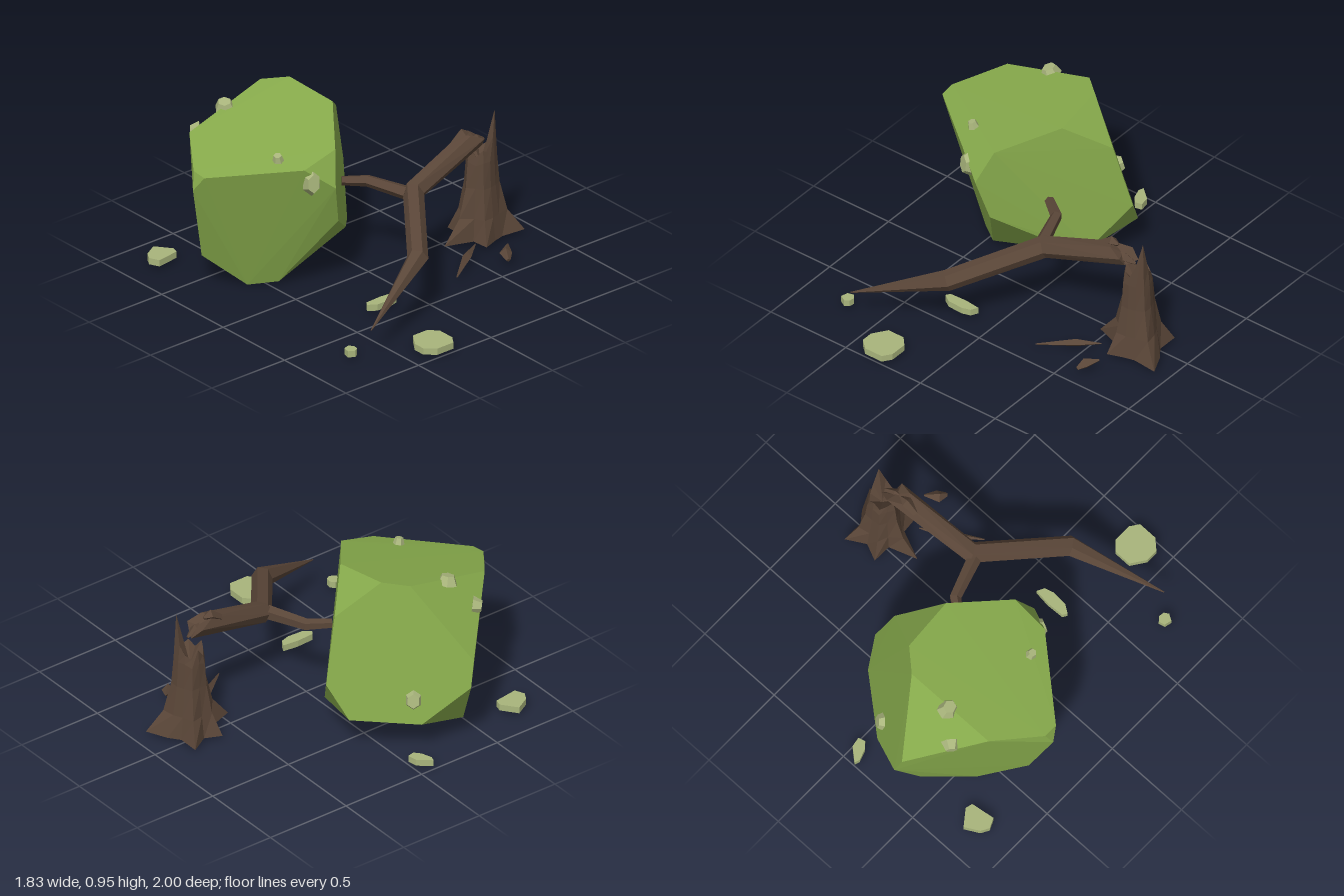
import * as THREE from 'three';
import { ConvexGeometry } from 'three/addons/geometries/ConvexGeometry.js';

const V = (p) => new THREE.Vector3(...p);

// Skin over a list of rings (equal point counts), closed by a fan at each end
function loft(rings, endCentre) {
  const n = rings[0].length, pos = [];
  const tri = (...pts) => pts.forEach((p) => pos.push(p.x, p.y, p.z));
  const middle = (r) => r.reduce((s, p) => s.add(p), new THREE.Vector3()).divideScalar(n);
  const first = rings[0], last = rings[rings.length - 1];
  const c0 = middle(first), c1 = endCentre || middle(last);
  for (let j = 0; j < n; j++) {
    const k = (j + 1) % n;
    for (let i = 0; i < rings.length - 1; i++) {
      const a = rings[i], b = rings[i + 1];
      tri(a[j], a[k], b[k]);
      tri(a[j], b[k], b[j]);
    }
    tri(c0, first[k], first[j]);
    tri(c1, last[j], last[k]);
  }
  const g = new THREE.BufferGeometry();
  g.setAttribute('position', new THREE.Float32BufferAttribute(pos, 3));
  g.computeVertexNormals();
  return g;
}

// Tapered limb along a bent path; jag shifts the first ring's points along the limb
function limb(path, radii, sides = 6, jag = []) {
  const pts = path.map(V), up = new THREE.Vector3(0, 1, 0);
  return loft(pts.map((p, i) => {
    const t = new THREE.Vector3();
    if (i > 0) t.add(p.clone().sub(pts[i - 1]).normalize());
    if (i < pts.length - 1) t.add(pts[i + 1].clone().sub(p).normalize());
    t.normalize();
    const e1 = up.clone().cross(t).normalize(), e2 = t.clone().cross(e1);
    return Array.from({ length: sides }, (_, j) => {
      const a = (j / sides) * Math.PI * 2;
      return p.clone()
        .addScaledVector(e1, Math.cos(a) * radii[i])
        .addScaledVector(e2, Math.sin(a) * radii[i])
        .addScaledVector(t, i === 0 ? jag[j] || 0 : 0);
    });
  }));
}

export function createModel() {
  const model = new THREE.Group();
  const material = (name, color) => {
    const m = new THREE.MeshStandardMaterial({ color });
    m.name = name;
    m.flatShading = true;
    return m;
  };
  const bark = material('darkBark', 0x5a4638);
  const green = material('leafGreen', 0x86a94b);
  const pale = material('paleLeaf', 0xa9b57c);
  const add = (name, geometry, mat) => {
    const mesh = new THREE.Mesh(geometry, mat);
    mesh.name = name;
    model.add(mesh);
    return mesh;
  };

  // Tipped-over foliage block with cut corners
  const corners = [
    // upper rim
    [-0.18, 0.94, -0.667], [-0.065, 0.956, -0.565], [-0.035, 0.922, -0.25],
    [-0.262, 0.826, 0.04], [-0.475, 0.77, 0.04], [-0.876, 0.724, -0.3],
    [-0.878, 0.736, -0.385], [-0.7, 0.81, -0.63],
    // sides
    [-0.908, 0.64, -0.355], [-0.326, 0.647, 0.12], [-0.266, 0.417, 0.07],
    [0.153, 0.762, -0.445], [0.246, 0.398, -0.495],
    [-0.38, 0.54, -0.955], [-0.345, 0.396, -0.977],
    // lower rim
    [-0.793, 0.196, -0.42], [-0.453, 0.02, -0.193], [-0.584, 0.003, -0.295],
    [-0.6, 0.043, -0.61], [-0.4, 0.118, -0.836], [-0.11, 0.196, -0.857],
    [0.185, 0.215, -0.615], [0.107, 0.167, -0.3], [0.054, 0.152, -0.25],
  ];
  add('foliageBlock', new ConvexGeometry(corners.map(V)), green);

  // Leaf clumps on the foliage: position, outward direction, half width, half length, spin
  const clumps = [
    [[-0.435, 0.875, -0.655], [-0.24, 1, 0.13], 0.055, 0.062, 0.3],
    [[-0.525, 0.795, -0.115], [-0.24, 1, 0.13], 0.034, 0.036, 0.8],
    [[-0.43, 0.69, 0.055], [-0.4, 0.1, 0.9], 0.055, 0.085, 0],
    [[-0.095, 0.33, -0.805], [0.61, 0.24, -0.75], 0.055, 0.065, 0],
    [[0.03, 0.175, -0.53], [0.24, -1, -0.13], 0.045, 0.095, 0],
    [[-0.55, 0.72, -0.76], [-0.75, -0.11, -0.64], 0.05, 0.05, 0.4],
    [[-0.17, 0.165, -0.76], [0.24, -1, -0.13], 0.045, 0.06, 0.5],
  ];
  for (const [at, out, w, l, spin] of clumps) {
    const g = new THREE.CylinderGeometry(0.62, 1, 0.05, 6);
    g.rotateY(spin).scale(w, 1, l).rotateX(Math.PI / 2);
    g.rotateZ(0).rotateX(0);
    g.rotateX(0);
    // long side follows the local vertical after lookAt
    const clump = add('leafClump', g, pale);
    clump.position.set(...at);
    clump.up.set(0, Math.abs(out[1]) > 0.8 ? 0 : 1, Math.abs(out[1]) > 0.8 ? 1 : 0);
    clump.lookAt(V(at).add(V(out)));
  }

  // Flat leaf scraps lying on the ground, outlines in x, z
  const scraps = [
    [[-0.37, 0.8], [-0.27, 0.8], [-0.225, 0.85], [-0.225, 0.95], [-0.26, 1], [-0.37, 1], [-0.425, 0.95], [-0.425, 0.88]],
    [[-0.74, 0.68], [-0.705, 0.67], [-0.685, 0.695], [-0.69, 0.725], [-0.715, 0.74], [-0.75, 0.72]],
    [[-0.325, 0.375], [-0.31, 0.35], [-0.21, 0.345], [-0.12, 0.355], [-0.14, 0.395], [-0.19, 0.41], [-0.28, 0.405]],
    [[-0.825, -0.825], [-0.745, -0.87], [-0.68, -0.785], [-0.69, -0.745], [-0.825, -0.725], [-0.85, -0.78]],
    [[-0.08, -1], [-0.01, -0.94], [0, -0.885], [-0.04, -0.875], [-0.07, -0.91], [-0.09, -0.97]],
  ];
  for (const outline of scraps) {
    const shape = new THREE.Shape(outline.map(([x, z]) => new THREE.Vector2(x, -z)));
    const g = new THREE.ExtrudeGeometry(shape, { depth: 0.037, bevelEnabled: false });
    g.rotateX(-Math.PI / 2).translate(0, 0.022, 0);
    add('groundLeaf', g, pale);
  }

  // Broken stump: flared roots below, splintered rim above
  const roots = [0.15, 0.12, 0.21, 0.12, 0.185, 0.11, 0.25, 0.11, 0.175, 0.12, 0.12, 0.235];
  const rim = [0.57, 0.52, 0.5, 0.55, 0.5, 0.53, 0.55, 0.5, 0.54, 0.52, 0.6, 0.745];
  const stumpRing = (radius, height) => roots.map((r, j) => {
    const a = (j / roots.length) * Math.PI * 2, d = radius(r);
    return new THREE.Vector3(0.718 + Math.cos(a) * d, height(j), 0.065 - Math.sin(a) * d);
  });
  add('stump', loft([
    stumpRing((r) => r, () => 0.022),
    stumpRing((r) => 0.095 + (r - 0.1) * 0.35, () => 0.15),
    stumpRing((r) => 0.088 + (r - 0.15) * 0.15, () => 0.32),
    stumpRing((r) => 0.08 + (r - 0.15) * 0.1, (j) => Math.min(rim[j] - 0.05, 0.47)),
    stumpRing((r) => 0.07 + (r - 0.15) * 0.05, (j) => rim[j]),
  ], new THREE.Vector3(0.718, 0.43, 0.065)), bark);

  // Fallen trunk, bent and tapering to a point, with a splintered end
  add('fallenTrunk', limb(
    [[0.63, 0.62, 0.1], [0.17, 0.485, 0.165], [-0.15, 0.36, 0.58], [-0.64, 0.17, 0.78]],
    [0.062, 0.06, 0.057, 0.003], 6, [-0.03, 0.03, 0.06, -0.04, -0.08, -0.03]), bark);
  add('trunkSplinter', limb(
    [[0.5, 0.62, 0.09], [0.57, 0.665, 0.09], [0.61, 0.66, 0.09]], [0.02, 0.03, 0.008], 4), bark);
  add('trunkSplinter', limb(
    [[0.56, 0.59, 0.11], [0.66, 0.605, 0.1], [0.72, 0.585, 0.085]], [0.04, 0.03, 0.008], 4), bark);

  // Side twig reaching into the foliage
  add('sideTwig', limb(
    [[0.14, 0.48, 0.15], [0.06, 0.49, -0.08], [-0.05, 0.495, -0.16]], [0.04, 0.033, 0.026], 5), bark);

  // Loose wood shards beside the stump
  add('woodShard', limb(
    [[0.285, 0.027, 0.385], [0.46, 0.045, 0.26], [0.575, 0.05, 0.19]], [0.004, 0.024, 0.003], 4), bark);
  add('woodShard', limb(
    [[0.6, 0.04, 0.43], [0.62, 0.06, 0.385], [0.675, 0.075, 0.335]], [0.012, 0.034, 0.005], 4), bark);

  return model;
}
